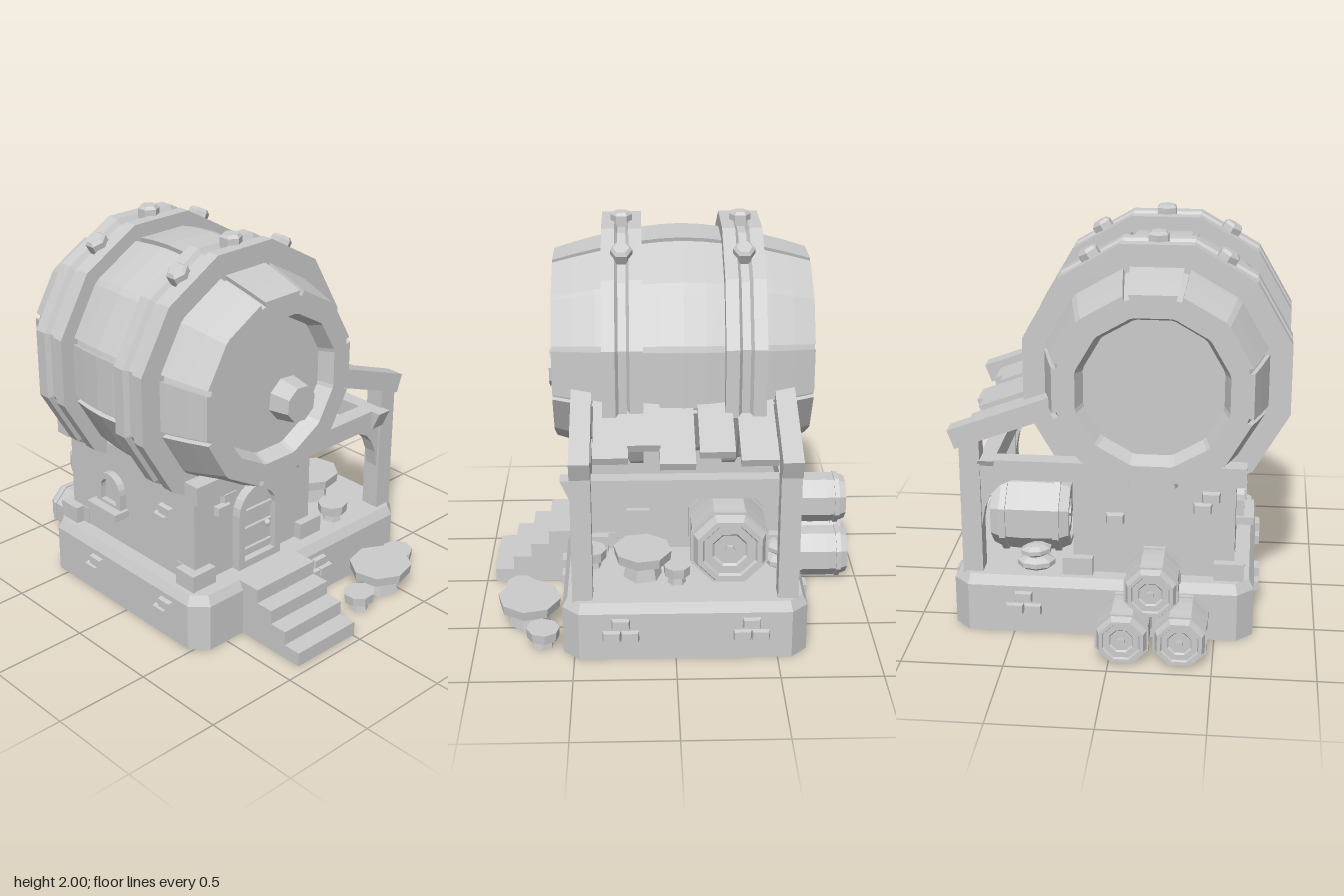
import * as THREE from 'three';

const mat = new THREE.MeshStandardMaterial({ color: 0xcccccc, flatShading: true, side: THREE.DoubleSide });
const V = (x, y) => new THREE.Vector2(x, y);

function add(parent, name, geo, x = 0, y = 0, z = 0, rx = 0, ry = 0, rz = 0) {
  const m = new THREE.Mesh(geo, mat);
  m.name = name;
  m.position.set(x, y, z);
  m.rotation.set(rx, ry, rz);
  parent.add(m);
  return m;
}

const box = (w, h, d) => new THREE.BoxGeometry(w, h, d);

// Box given by its limits on each axis
function span(parent, name, x0, x1, y0, y1, z0, z1) {
  return add(parent, name, box(x1 - x0, y1 - y0, z1 - z0), (x0 + x1) / 2, (y0 + y1) / 2, (z0 + z1) / 2);
}

const extrude = (shape, depth) =>
  new THREE.ExtrudeGeometry(shape, { depth, bevelEnabled: false, curveSegments: 5 });

// Brick with a tapered outer face (+z)
function brick(w, h, d) {
  const g = box(w, h, d), p = g.attributes.position;
  for (let i = 0; i < p.count; i++)
    if (p.getZ(i) > 0) p.setXY(i, p.getX(i) * 0.78, p.getY(i) * 0.7);
  return g;
}

function bricks(parent, x, y, z, ry, layout) {
  const g = new THREE.Group();
  g.name = 'bricks';
  g.position.set(x, y, z);
  g.rotation.y = ry;
  for (const [u, v] of layout) add(g, 'brick', brick(0.1, 0.062, 0.05), u, v, 0);
  parent.add(g);
}
const trio = [[0, 0.033], [-0.045, -0.033], [0.045, -0.033]];
const pair = [[0.02, 0.03], [-0.02, -0.03]];

function archShape(w, h, T = THREE.Shape) {
  const s = new T();
  s.moveTo(-w / 2, 0);
  s.lineTo(w / 2, 0);
  s.lineTo(w / 2, h - w / 2);
  s.absarc(0, h - w / 2, w / 2, 0, Math.PI, false);
  s.lineTo(-w / 2, 0);
  return s;
}

// Arched frame with a recessed panel, facing +z
function archOpening(parent, name, w, h, rim, depth) {
  const g = new THREE.Group();
  g.name = name;
  const s = archShape(w, h), hole = archShape(w - 2 * rim, h - 2 * rim, THREE.Path);
  s.holes.push(new THREE.Path(hole.getPoints(5).map(p => V(p.x, p.y + rim))));
  add(g, 'frame', extrude(s, depth));
  add(g, 'panel', extrude(archShape(w - rim, h - rim), depth * 0.4), 0, rim / 2, 0);
  parent.add(g);
  return g;
}

// Eight-sided keg along y with two hoops and recessed ends
function keg(parent, name, len, r) {
  const g = new THREE.Group(), h = len / 2;
  g.name = name;
  const half = [[0, 0.86], [0.4, 0.86], [0.45, 0.92], [0.66, 0.92], [0.7, 1], [0.83, 1], [0.93, 0.76],
    [1, 0.76], [1, 0.6], [0.95, 0.6], [0.97, 0.25]];
  const pts = half.map(([a, b]) => V(a * r, -b * h))
    .concat(half.slice().reverse().map(([a, b]) => V(a * r, b * h)));
  add(g, 'kegBody', new THREE.LatheGeometry(pts, 8, Math.PI / 8));
  for (const s of [-1, 1]) add(g, 'bung', new THREE.CylinderGeometry(r * 0.13, r * 0.13, 0.03, 6), 0, s * h * 0.9, 0);
  parent.add(g);
  return g;
}

// Chunky stool or table: irregular eight-sided top on a short leg
function stool(parent, name, x, y, z, r, top, turn) {
  const g = new THREE.Group();
  g.name = name;
  g.position.set(x, y, z);
  g.rotation.y = turn;
  const seat = new THREE.CylinderGeometry(r, r * 0.96, 0.05, 8);
  seat.rotateY(Math.PI / 8).scale(1, 1, 0.92);
  add(g, 'seat', seat, 0, top - 0.025, 0);
  add(g, 'leg', new THREE.CylinderGeometry(r * 0.5, r * 0.62, top - 0.04, 6), 0, (top - 0.04) / 2, 0);
  parent.add(g);
}

// Big barrel along z: twelve flats with grooves between some staves
function bigBarrel(parent) {
  const g = new THREE.Group();
  g.name = 'bigBarrel';
  g.position.set(-0.19, 1.305, -0.05);
  const H = 0.65, flat = Math.PI / 6, cut = 0.028;
  const end = [[0, 0.57], [0.335, 0.57], [0.365, H]];
  const pts = end.map(([r, y]) => V(r, -y));
  for (let i = 0; i <= 12; i++) {
    const t = i / 6 - 1;
    pts.push(V(0.475 + 0.12 * (1 - Math.abs(t) ** 1.7), t * H));
  }
  end.reverse().forEach(([r, y]) => pts.push(V(r, y)));
  const body = new THREE.LatheGeometry(pts, 48), p = body.attributes.position, n = pts.length;
  for (let i = 0; i < p.count; i++) {
    const col = Math.floor(i / n) % 48, k = Math.floor(col / 4), q = col % 4, r = pts[i % n].x;
    const a = (k + 0.5) * flat + (q < 2 ? -cut : cut);
    const groove = k % 3 !== 1 && (q === 1 || q === 2) && r > 0.4 ? 0.025 : 0;
    const R = r / Math.cos(flat / 2 - cut) - groove;
    p.setXYZ(i, R * Math.sin(a), pts[i % n].y, R * Math.cos(a));
  }
  add(g, 'staves', body.rotateX(Math.PI / 2));

  // Hoops with a central channel, and bolts over the top
  const k = 1 / Math.cos(flat / 2);
  const prof = [[0.5, -0.1], [0.65, -0.1], [0.65, -0.035], [0.625, -0.02], [0.625, 0.02], [0.65, 0.035],
    [0.65, 0.1], [0.5, 0.1]].map(([r, y]) => V(r * k, y));
  for (const z of [0.3, -0.3]) {
    add(g, 'hoop', new THREE.LatheGeometry(prof, 12, flat / 2).rotateX(Math.PI / 2), 0, 0, z);
    for (const a of [-flat, 0, flat]) {
      const d = 0.65;
      const bolt = new THREE.LatheGeometry([V(0, -0.04), V(0.055, -0.04), V(0.055, 0.03), V(0.04, 0.045), V(0, 0.045)], 6);
      add(g, 'bolt', bolt, d * Math.sin(a), d * Math.cos(a), z, 0, 0, -a);
    }
  }
  // Spigot plug on the front panel
  add(g, 'plug', new THREE.CylinderGeometry(0.095, 0.118, 0.13, 8), 0.11, -0.1, 0.615, Math.PI / 2, 0.3, 0);
  parent.add(g);
}

export function createModel() {
  const root = new THREE.Group();
  root.name = 'barrelHouse';

  // Stone base with cut corners and a chamfered top edge
  const a = 0.75, b = 0.603, c = 0.08;
  const outline = new THREE.Shape([V(-a + c, -b), V(a - c, -b), V(a, -b + c), V(a, b - c),
    V(a - c, b), V(-a + c, b), V(-a, b - c), V(-a, -b + c)]);
  const base = new THREE.ExtrudeGeometry(outline, {
    depth: 0.25, bevelThickness: 0.05, bevelSize: 0.025, bevelOffset: -0.025, bevelSegments: 1 });
  base.rotateX(-Math.PI / 2);
  const bp = base.attributes.position;
  for (let i = 0; i < bp.count; i++) bp.setY(i, Math.max(0, bp.getY(i)));
  add(root, 'base', base, 0.06, 0, -0.047);
  for (let i = 0; i < 4; i++) span(root, 'step', -0.39, 0.01, 0, 0.3 - i * 0.075, 0.5, 0.66 + i * 0.097);

  // House walls and corner stones
  span(root, 'walls', -0.59, 0.21, 0.28, 0.85, -0.55, 0.42);
  for (const [x, s] of [[-0.565, 1], [0.185, -1]])
    for (const z of [0.4, -0.53]) {
      add(root, 'cornerStone', box(0.15, 0.09, 0.13), x, 0.345, z);
      add(root, 'cornerStone', box(0.1, 0.09, 0.1), x + s * 0.02, 0.345, z - Math.sign(z) * 0.06);
    }

  // Door
  const door = archOpening(root, 'door', 0.29, 0.45, 0.04, 0.06);
  door.position.set(-0.19, 0.3, 0.41);
  for (const y of [0.08, 0.2, 0.3]) add(door, 'doorBand', box(0.2, 0.025, 0.02), 0, y, 0.03);
  add(door, 'doorKnob', new THREE.SphereGeometry(0.018, 8, 6), 0.06, 0.2, 0.05);

  // Side windows
  const right = archOpening(root, 'rightWindow', 0.19, 0.19, 0.035, 0.05);
  right.position.set(0.2, 0.5, 0.18);
  right.rotation.y = Math.PI / 2;
  const left = archOpening(root, 'leftWindow', 0.19, 0.2, 0.035, 0.05);
  left.position.set(-0.58, 0.5, -0.2);
  left.rotation.y = -Math.PI / 2;
  add(left, 'sill', box(0.23, 0.04, 0.1), 0, 0, 0.05);

  // Scattered bricks on walls and base
  const H = Math.PI / 2;
  bricks(root, -0.395, 0.705, 0.425, 0, pair);
  bricks(root, -0.59, 0.62, 0.2, -H, pair);
  bricks(root, -0.45, 0.7, -0.555, Math.PI, pair);
  bricks(root, 0, 0.6, -0.555, Math.PI, [[0, 0]]);
  bricks(root, 0.15, 0.165, 0.556, 0, trio);
  for (const z of [0.27, -0.37]) bricks(root, 0.81, 0.165, z, H, trio);
  for (const z of [0.3, -0.25]) bricks(root, -0.69, 0.165, z, -H, pair);
  bricks(root, 0.45, 0.165, -0.65, Math.PI, trio);

  bigBarrel(root);

  // Porch frame: beams, posts, curved braces and rafters
  const brace = new THREE.Shape();
  brace.moveTo(0.67, 0.81);
  brace.lineTo(0.42, 0.81);
  brace.bezierCurveTo(0.58, 0.8, 0.64, 0.72, 0.66, 0.55);
  brace.lineTo(0.67, 0.55);
  const slope = -0.355;
  for (const z of [0.455, -0.55]) {
    span(root, 'crossBeam', -0.64, 0.76, 0.8, 0.9, z - 0.045, z + 0.045);
    span(root, 'post', 0.66, 0.76, 0.29, 1.02, z - 0.05, z + 0.05);
    add(root, 'brace', extrude(brace, 0.07), 0, 0, z - 0.035);
    add(root, 'rafter', box(0.54, 0.1, 0.1), 0.545, 1.095, z, 0, 0, slope);
  }
  const beam = new THREE.Shape([V(-0.56, 0.8), V(0.51, 0.8), V(0.555, 0.9), V(-0.61, 0.9)]);
  add(root, 'sideBeam', extrude(beam, 0.08), 0.67, 0, 0, 0, -H, 0);

  // Roof planks of uneven length
  const planks = [[0.31, 0.17, 0.46], [0.15, 0.16, 0.4], [-0.01, 0.17, 0.5], [-0.2, 0.17, 0.45], [-0.4, 0.18, 0.48]];
  planks.forEach(([z, w, len], i) => {
    const mid = 0.05 + len / 2;
    add(root, 'roofPlank', box(len, 0.04, w), 0.24 + mid * 0.94, 1.2 - mid * 0.35 + (i % 2) * 0.02, z, 0, 0, slope);
  });

  // Kegs: one on the porch, three stacked behind
  const porchKeg = keg(root, 'porchKeg', 0.4, 0.207);
  porchKeg.position.set(0.45, 0.5, -0.27);
  porchKeg.rotation.z = -H;
  for (const [x, y] of [[-0.345, 0.13], [-0.065, 0.13], [-0.205, 0.385]]) {
    const k = keg(root, 'stackedKeg', 0.31, 0.14);
    k.position.set(x, y, -0.795);
    k.rotation.x = H;
  }

  // Sacks at the back of the porch
  for (const [y, s, t] of [[0.335, 1, 0.1], [0.4, 0.85, 0.5]]) {
    const g = new THREE.SphereGeometry(0.1, 8, 5).scale(s, 0.4 * s, 0.75 * s);
    add(root, 'sack', g, 0.4, y, -0.53, 0, t, 0);
  }

  // Tables and stools, on the porch and on the ground
  stool(root, 'table', 0.44, 0, 0.74, 0.175, 0.15, 0.25);
  stool(root, 'stool', 0.21, 0, 0.8, 0.085, 0.1, 0);
  stool(root, 'stool', 0.67, 0, 0.66, 0.09, 0.1, 0.5);
  stool(root, 'table', 0.5, 0.3, 0.16, 0.16, 0.15, 0.2);
  stool(root, 'stool', 0.4, 0.3, 0.42, 0.085, 0.1, 0.3);
  stool(root, 'stool', 0.58, 0.3, -0.01, 0.075, 0.1, 0.1);

  return root;
}
